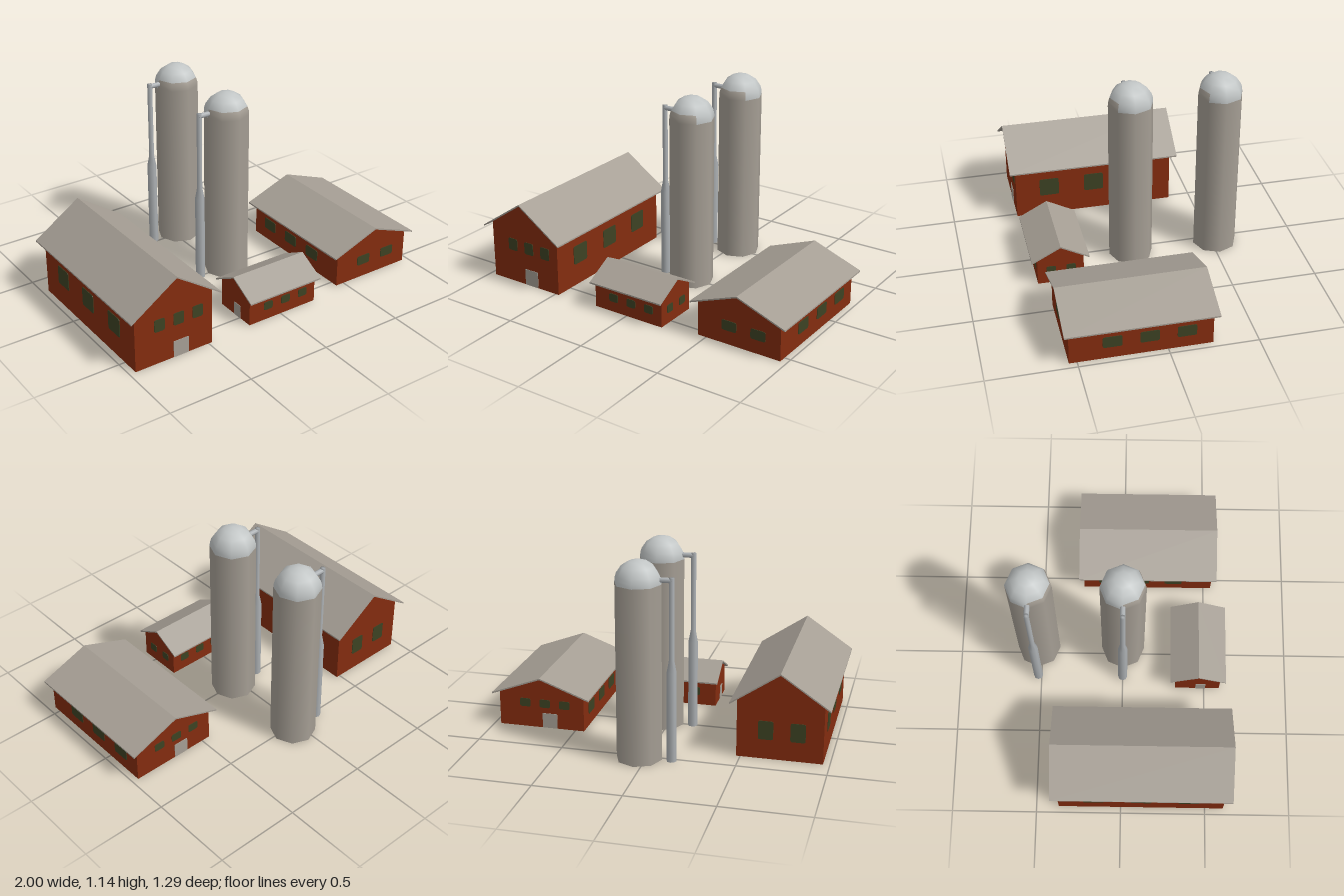
import * as THREE from 'three';

const mat = (name, color, side = THREE.FrontSide) => {
  const m = new THREE.MeshStandardMaterial({ color, side });
  m.name = name;
  return m;
};

export function createModel() {
  const brick = mat('brick red', 0x842c0f, THREE.DoubleSide);
  const stone = mat('warm grey', 0xa59e94, THREE.DoubleSide);
  const steel = mat('pale steel', 0xc2c6c6, THREE.DoubleSide);
  const pipeGrey = mat('pipe grey', 0xadb1b4);
  const glass = mat('dark green glass', 0x3d4223);

  const add = (parent, name, geometry, material, x = 0, y = 0, z = 0) => {
    const mesh = new THREE.Mesh(geometry, material);
    mesh.name = name;
    mesh.position.set(x, y, z);
    parent.add(mesh);
    return mesh;
  };

  // Thin plate, centred on its wall so it shows inside and outside
  const plate = (w, h, r) => {
    const a = w / 2, b = h / 2;
    const s = new THREE.Shape();
    s.moveTo(-a + r, -b).lineTo(a - r, -b).quadraticCurveTo(a, -b, a, -b + r);
    s.lineTo(a, b - r).quadraticCurveTo(a, b, a - r, b);
    s.lineTo(-a + r, b).quadraticCurveTo(-a, b, -a, b - r);
    s.lineTo(-a, -b + r).quadraticCurveTo(-a, -b, -a + r, -b);
    return new THREE.ExtrudeGeometry(s, { depth: 0.006, bevelEnabled: false, curveSegments: 3 })
      .translate(0, 0, -0.003);
  };

  // Open-bottomed gabled building; the ridge runs along its own z axis.
  // openings: [side, position along wall, centre y, width, height, isDoor]
  function barn(name, { w, l, roofW, roofL, eave, peak, openings }) {
    const g = new THREE.Group();
    g.name = name;
    const t = 0.009;
    const slope = (peak - eave) / (roofW / 2);
    const top = peak - t, wallH = top - slope * w / 2;

    const gable = new THREE.Shape([
      [-w / 2, 0], [w / 2, 0], [w / 2, wallH], [0, top], [-w / 2, wallH],
    ].map(p => new THREE.Vector2(...p)));
    for (const s of [1, -1]) {
      const end = add(g, 'gableWall', new THREE.ShapeGeometry(gable), brick, 0, 0, s * l / 2);
      if (s < 0) end.rotation.y = Math.PI;
      const side = add(g, 'sideWall', new THREE.PlaneGeometry(l, wallH), brick, s * w / 2, wallH / 2, 0);
      side.rotation.y = s * Math.PI / 2;
    }

    const r = roofW / 2;
    const chevron = new THREE.Shape([
      [-r, eave - t], [0, peak - t], [r, eave - t], [r, eave], [0, peak], [-r, eave],
    ].map(p => new THREE.Vector2(...p)));
    add(g, 'roof', new THREE.ExtrudeGeometry(chevron, { depth: roofL, bevelEnabled: false }),
      stone, 0, 0, -roofL / 2);

    for (const [side, u, y, ow, oh, door] of openings) {
      const onEnd = side === 'front' || side === 'back';
      const s = side === 'front' || side === 'left' ? 1 : -1;
      const m = add(g, door ? 'door' : 'window', plate(ow, oh, door ? 0.004 : 0.012), door ? stone : glass,
        onEnd ? u : s * w / 2, y, onEnd ? s * l / 2 : u);
      if (!onEnd) m.rotation.y = Math.PI / 2;
    }
    return g;
  }

  const row = (side, positions, y, w, h) => positions.map(u => [side, u, y, w, h, false]);
  const model = new THREE.Group();
  model.name = 'farmyard';

  const largeBarn = barn('largeBarn', {
    w: 0.485, l: 0.975, roofW: 0.56, roofL: 1.05, eave: 0.33, peak: 0.52,
    openings: [
      ...row('front', [-0.09, 0.03, 0.15], 0.237, 0.065, 0.075),
      ['front', 0.043, 0.051, 0.095, 0.1, true],
      ...row('back', [-0.1, 0.08], 0.17, 0.085, 0.11),
      ...row('left', [0.28, 0, -0.28], 0.19, 0.12, 0.115),
      ...row('right', [0.28, 0, -0.28], 0.19, 0.12, 0.115),
    ],
  });
  largeBarn.position.set(-0.72, 0, 0.12);

  const lowBarn = barn('lowBarn', {
    w: 0.515, l: 0.795, roofW: 0.59, roofL: 0.85, eave: 0.205, peak: 0.315,
    openings: [
      ...row('front', [-0.06, 0.12], 0.112, 0.092, 0.06),
      ...row('back', [0.1, -0.02, -0.14], 0.15, 0.065, 0.05),
      ['back', -0.05, 0.046, 0.09, 0.09, true],
      ...row('left', [0.16, -0.045, -0.25], 0.107, 0.107, 0.07),
      ...row('right', [0.16, -0.045, -0.25], 0.107, 0.107, 0.07),
    ],
  });
  lowBarn.position.set(0.705, 0, 0.1475);

  // The shed is turned so its ridge runs left to right
  const shed = barn('shed', {
    w: 0.27, l: 0.455, roofW: 0.336, roofL: 0.486, eave: 0.16, peak: 0.25,
    openings: [
      ...row('front', [-0.055, 0.06], 0.088, 0.055, 0.05),
      ['back', -0.02, 0.041, 0.06, 0.08, true],
      ...row('left', [-0.1, 0.02, 0.14], 0.087, 0.06, 0.05),
      ...row('right', [-0.1, 0.02, 0.14], 0.087, 0.06, 0.05),
    ],
  });
  shed.position.set(0.0125, 0, 0.4575);
  shed.rotation.y = Math.PI / 2;
  model.add(largeBarn, lowBarn, shed);

  // Eight-sided silos with domes and feed pipes
  const R = 0.13, H = 1.01, P = Math.PI;
  for (const z of [0, -0.52]) {
    const silo = new THREE.Group();
    silo.name = 'silo';
    silo.position.set(0.04, 0, z);
    add(silo, 'siloBody', new THREE.CylinderGeometry(R, R, H, 8, 1, true), stone, 0, H / 2, 0);
    add(silo, 'domeCap', new THREE.SphereGeometry(R, 8, 3, 0, P * 2, 0, P * 3 / 8), steel, 0, H, 0);
    add(silo, 'domeBand', new THREE.SphereGeometry(R, 5, 1, P * 0.75, P * 1.25, P * 3 / 8, P / 8), steel, 0, H, 0);
    add(silo, 'domeBandFront', new THREE.SphereGeometry(R, 3, 1, 0, P * 0.75, P * 3 / 8, P / 8), stone, 0, H, 0);

    const profile = [[0, 0], [0.028, 0], [0.028, 0.52], [0.015, 0.59], [0.015, 1.05], [0, 1.05]]
      .map(p => new THREE.Vector2(...p));
    add(silo, 'feedPipe', new THREE.LatheGeometry(profile, 8), pipeGrey, -0.185, 0, 0);
    const arm = add(silo, 'feedPipeArm', new THREE.CylinderGeometry(0.015, 0.015, 0.085, 8), pipeGrey, -0.1475, 1.035, 0);
    arm.rotation.z = P / 2;
    model.add(silo);
  }
  return model;
}
